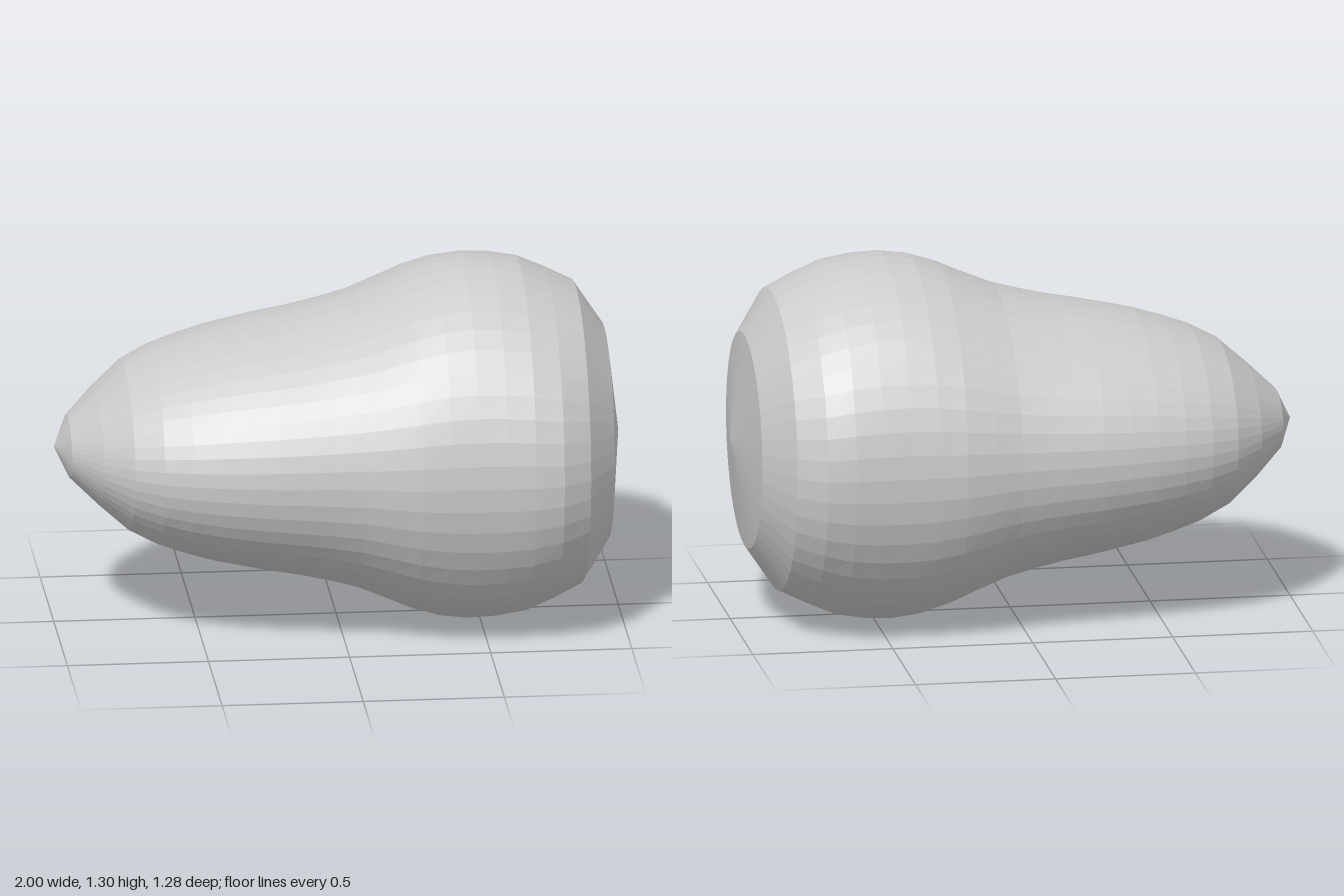
import * as THREE from 'three';

// Elliptical cross-sections along the body: [x, half height, half depth]
const SECTIONS = [
  [-1, 0, 0], [-0.95, 0.105, 0.165], [-0.85, 0.2, 0.313], [-0.75, 0.288, 0.415],
  [-0.65, 0.34, 0.474], [-0.55, 0.375, 0.51], [-0.45, 0.405, 0.535], [-0.35, 0.427, 0.553],
  [-0.25, 0.448, 0.568], [-0.15, 0.466, 0.577], [-0.05, 0.49, 0.586], [0.05, 0.518, 0.597],
  [0.15, 0.56, 0.617], [0.25, 0.605, 0.633], [0.35, 0.637, 0.637], [0.45, 0.65, 0.638],
  [0.55, 0.645, 0.641], [0.65, 0.627, 0.642], [0.75, 0.582, 0.63], [0.85, 0.534, 0.565],
  [0.95, 0.384, 0.4], [1, 0, 0],
];
const SIDES = 48;
const CENTRE_Y = 0.652;

export function createModel() {
  const group = new THREE.Group();
  group.name = 'model';

  // Revolve the side profile, then widen each ring into its ellipse
  const profile = SECTIONS.map(([x, h]) => new THREE.Vector2(h, x));
  const geometry = new THREE.LatheGeometry(profile, SIDES);
  const pos = geometry.attributes.position;
  for (let i = 0; i < pos.count; i++) {
    const [, h, d] = SECTIONS[i % SECTIONS.length];
    if (h > 0) pos.setZ(i, pos.getZ(i) * d / h);
  }

  // Lay the axis along x, blunt end towards +x
  geometry.rotateZ(-Math.PI / 2);
  geometry.translate(0, CENTRE_Y, 0);
  geometry.computeVertexNormals();

  const body = new THREE.Mesh(
    geometry,
    new THREE.MeshStandardMaterial({ color: 0xcccccc, flatShading: true }),
  );
  body.name = 'taperedBody';
  group.add(body);
  return group;
}
